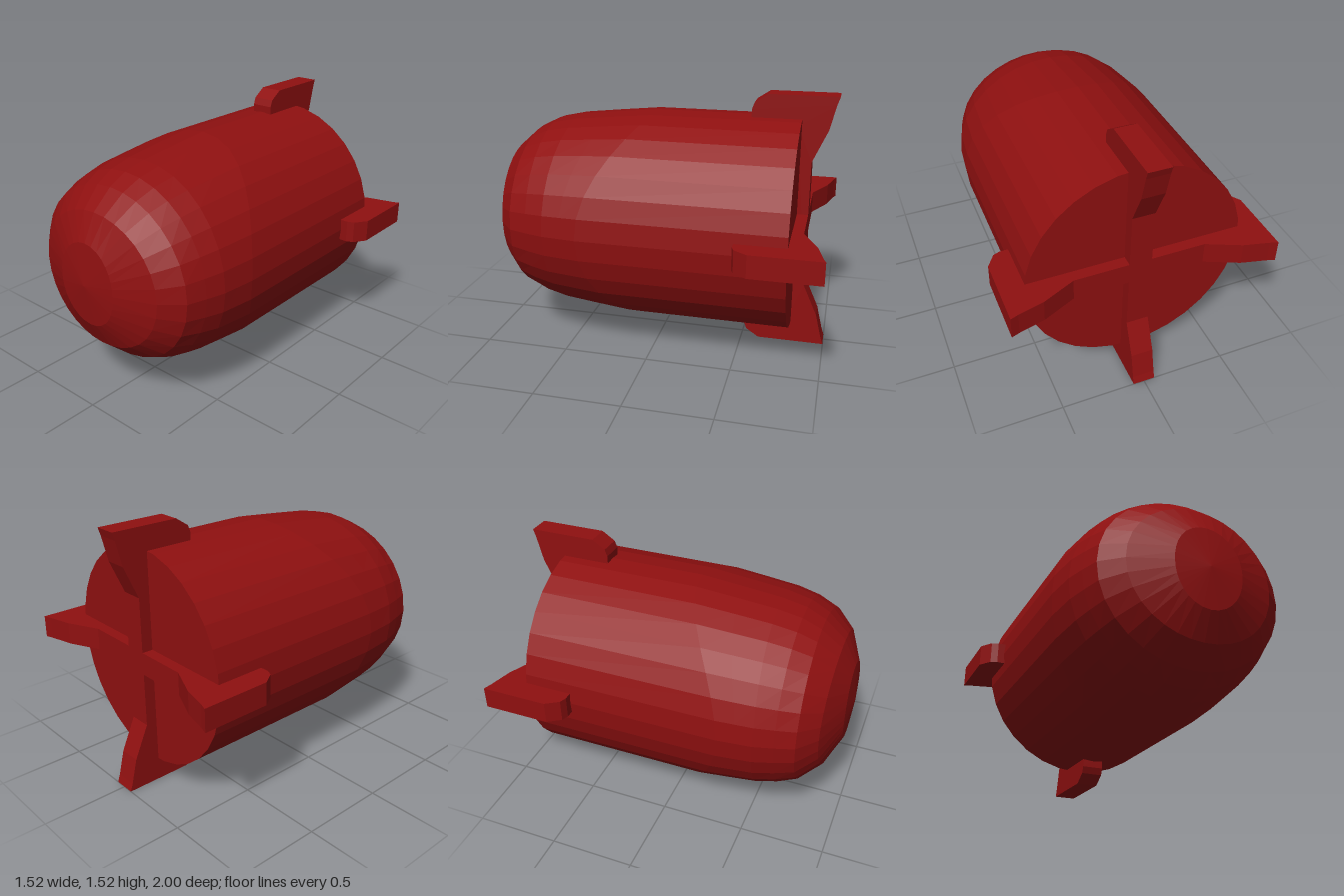
import * as THREE from 'three';

const CENTER_Y = 0.765;
const BODY_R = 0.63;
const REAR_Z = -0.8;

// Nose outline as [radius, z]: along the vertical plane and along the horizontal plane
const NOSE_V = [[0.63, 0.05], [0.605, 0.3], [0.58, 0.53], [0.55, 0.67], [0.495, 0.78], [0.39, 0.9], [0.24, 0.975], [0, 1]];
const NOSE_H = [[0.63, 0.37], [0.62, 0.47], [0.61, 0.57], [0.58, 0.68], [0.545, 0.79], [0.43, 0.89], [0.2, 0.98], [0, 1]];

// Faceted shell: a lathe whose nose rows blend between the two outlines
function bodyGeometry() {
  const rear = [[0, REAR_Z], [BODY_R, REAR_Z]];
  const tall = [...rear, ...NOSE_V];
  const wide = [...rear, ...NOSE_H];
  const geo = new THREE.LatheGeometry(tall.map(([r, z]) => new THREE.Vector2(r, z)), 32);
  geo.rotateX(Math.PI / 2);
  const pos = geo.attributes.position;
  const rows = tall.length;
  for (let k = 0; k < pos.count; k++) {
    const row = k % rows;
    const angle = (Math.floor(k / rows) / 32) * Math.PI * 2;
    const s = Math.sin(angle), c = Math.cos(angle);
    const r = THREE.MathUtils.lerp(tall[row][0], wide[row][0], s * s);
    const z = THREE.MathUtils.lerp(tall[row][1], wide[row][1], s * s);
    pos.setXYZ(k, r * s, -r * c, z);
  }
  const flat = geo.toNonIndexed();
  flat.computeVertexNormals();
  return flat;
}

// Pair of opposite fins joined across the rear face; shape is drawn as (radius, z)
function finGeometry() {
  const half = [[0.38, -0.865], [0.57, -0.95], [0.715, -0.985], [0.76, -1], [0.76, -0.605],
    [0.71, -0.53], [0.67, -0.515], [0.59, -0.515], [0.59, -0.78]];
  const mirrored = half.map(([r, z]) => [-r, z]).reverse();
  const shape = new THREE.Shape([...half, ...mirrored].map(([r, z]) => new THREE.Vector2(r, z)));
  const geo = new THREE.ExtrudeGeometry(shape, { depth: 0.13, bevelEnabled: false });
  geo.translate(0, 0, -0.065);
  geo.rotateX(Math.PI / 2);
  return geo;
}

export function createModel() {
  const model = new THREE.Group();
  model.name = 'finnedShell';
  const red = new THREE.MeshStandardMaterial({ color: 0x8f1010, flatShading: true });

  const body = new THREE.Mesh(bodyGeometry(), red);
  body.name = 'body';
  body.position.y = CENTER_Y;
  model.add(body);

  // Crossed tail fins
  const fin = finGeometry();
  ['sideFins', 'uprightFins'].forEach((name, i) => {
    const mesh = new THREE.Mesh(fin, red);
    mesh.name = name;
    mesh.position.y = CENTER_Y;
    mesh.rotation.z = i * Math.PI / 2;
    model.add(mesh);
  });
  return model;
}
